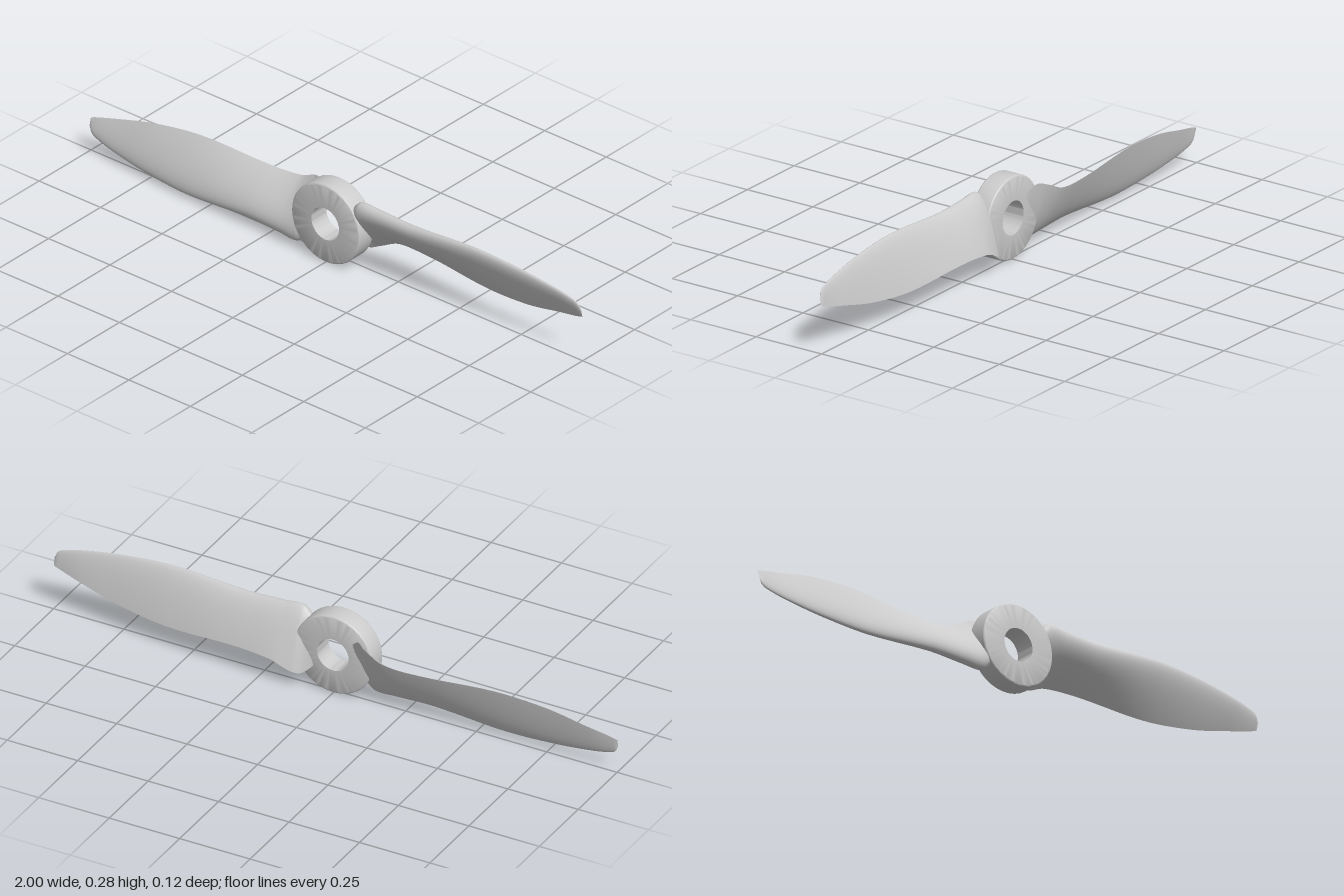
import * as THREE from 'three';
import { toCreasedNormals } from 'three/addons/utils/BufferGeometryUtils.js';

const HUB_Y = 0.139;

// Blade stations from root to tip:
// x, leading edge y, z, trailing edge y, z, thickness
const STATIONS = [
  [0.06, 0.19, 0.02, 0.09, -0.01, 0.03],
  [0.10, 0.232, 0.032, 0.054, -0.034, 0.045],
  [0.13, 0.256, 0.038, 0.06, -0.053, 0.056],
  [0.20, 0.253, 0.038, 0.09, -0.062, 0.054],
  [0.33, 0.249, 0.036, 0.096, -0.056, 0.046],
  [0.58, 0.265, 0.031, 0.084, -0.040, 0.034],
  [0.76, 0.255, 0.024, 0.101, -0.024, 0.024],
  [0.90, 0.235, 0.016, 0.133, -0.012, 0.015],
  [0.97, 0.218, 0.011, 0.150, -0.003, 0.010],
  [0.99, 0.206, 0.009, 0.156, -0.001, 0.007],
  [1.00, 0.185, 0.007, 0.160, 0.001, 0],
];

// Teardrop thickness along the chord, 0 at both ends and 1 at its fullest
const airfoil = (s) =>
  2.969 * Math.sqrt(s) - 1.26 * s - 3.516 * s ** 2 + 2.843 * s ** 3 - 1.036 * s ** 4;

// Smooth value of one station column at parameter u (index along the stations)
function sample(column, u) {
  const last = STATIONS.length - 1;
  const i = Math.min(Math.floor(u), last - 1);
  const at = (k) => STATIONS[Math.max(0, Math.min(last, k))];
  const slope = (k) => {
    const a = at(k - 1), b = at(k + 1);
    return (b[column] - a[column]) / (b[0] - a[0]);
  };
  const [p, q] = [at(i), at(i + 1)];
  const t = u - i, h = q[0] - p[0];
  if (column === 0) return p[0] + t * h;
  return (1 + 2 * t) * (1 - t) ** 2 * p[column] + t * (1 - t) ** 2 * h * slope(i)
    + t * t * (3 - 2 * t) * q[column] + t * t * (t - 1) * h * slope(i + 1);
}

function bladeGeometry() {
  const rows = (STATIONS.length - 1) * 6;
  const cols = 40;
  const positions = [];
  const indices = [];
  for (let i = 0; i <= rows; i++) {
    const u = i / 6;
    const [x, ly, lz, ty, tz, thick] = [0, 1, 2, 3, 4, 5].map((c) => sample(c, u));
    const chord = Math.hypot(ly - ty, lz - tz);
    const ny = -(lz - tz) / chord, nz = (ly - ty) / chord;
    // Ring runs trailing edge, front, leading edge, back, trailing edge
    for (let j = 0; j <= cols; j++) {
      const s = (1 + Math.cos((j / cols) * Math.PI * 2)) / 2;
      const side = j <= cols / 2 ? 0.65 : -0.35;
      const d = Math.max(0, airfoil(s)) * Math.max(0, thick) * side;
      positions.push(
        x,
        ly + (ty - ly) * s + ny * d - HUB_Y,
        lz + (tz - lz) * s + nz * d,
      );
      if (i < rows && j < cols) {
        const a = i * (cols + 1) + j, b = a + cols + 1;
        indices.push(a, b, b + 1, a, b + 1, a + 1);
      }
    }
  }
  const geometry = new THREE.BufferGeometry();
  geometry.setAttribute('position', new THREE.Float32BufferAttribute(positions, 3));
  geometry.setIndex(indices);
  geometry.computeVertexNormals();
  return geometry;
}

function hubGeometry() {
  const outer = 0.138, inner = 0.056, back = -0.016, front = 0.056, r = 0.007;
  const points = [new THREE.Vector2(inner, back)];
  // Rounded outer corners, back then front
  for (const [cy, start] of [[back + r, -Math.PI / 2], [front - r, 0]]) {
    for (let k = 0; k <= 4; k++) {
      const a = start + (k / 4) * Math.PI / 2;
      points.push(new THREE.Vector2(outer - r + r * Math.cos(a), cy + r * Math.sin(a)));
    }
  }
  points.push(new THREE.Vector2(inner, front), new THREE.Vector2(inner, back));
  const lathe = new THREE.LatheGeometry(points, 72).rotateX(Math.PI / 2);
  return toCreasedNormals(lathe, 0.6);
}

export function createModel() {
  const model = new THREE.Group();
  model.name = 'propeller';
  const material = new THREE.MeshStandardMaterial({ color: 0xcccccc });

  // Ring hub with centre bore
  const hub = new THREE.Mesh(hubGeometry(), material);
  hub.name = 'hub';
  hub.position.y = HUB_Y;
  model.add(hub);

  // Two twisted blades, half a turn apart
  const geometry = bladeGeometry();
  ['leftBlade', 'rightBlade'].forEach((name, k) => {
    const blade = new THREE.Mesh(geometry, material);
    blade.name = name;
    blade.position.y = HUB_Y;
    blade.rotation.z = k * Math.PI;
    model.add(blade);
  });
  return model;
}
